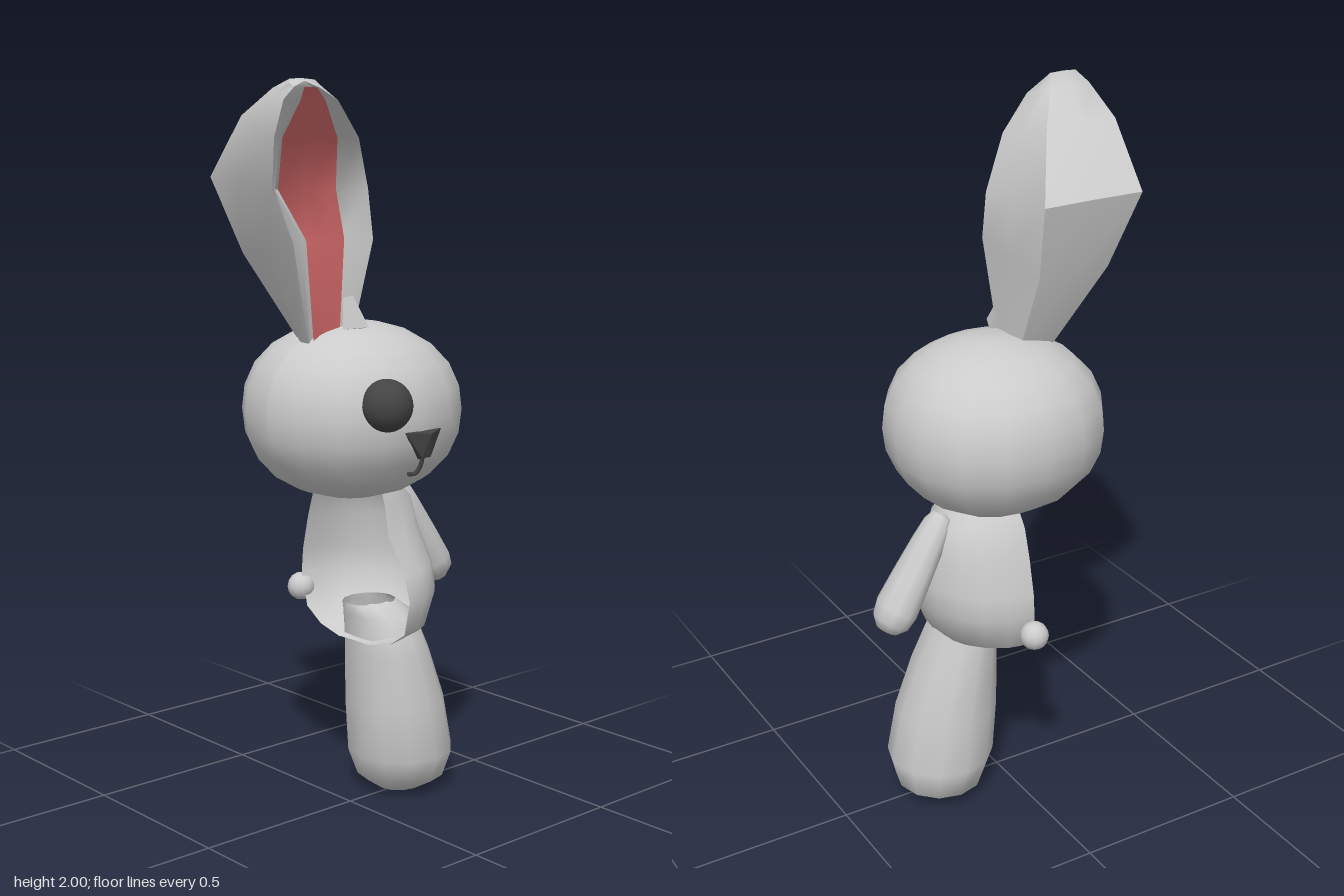
import * as THREE from 'three';
import { toCreasedNormals } from 'three/addons/utils/BufferGeometryUtils.js';
import { ConvexGeometry } from 'three/addons/geometries/ConvexGeometry.js';

const V = (x, y, z) => new THREE.Vector3(x, y, z);
const material = (color) => new THREE.MeshStandardMaterial({ color, side: THREE.DoubleSide });
const grey = material(0xcccccc);
const dark = material(0x444444);
const pink = material(0xd96c6c);

// Skin a stack of equal-length rings, listed from bottom to top.
function loft(rings, closed = true) {
  const n = rings[0].length;
  const index = [];
  for (let i = 0; i < rings.length - 1; i++) {
    for (let j = 0; j < (closed ? n : n - 1); j++) {
      const k = (j + 1) % n;
      const a = i * n + j, b = i * n + k, c = a + n, d = b + n;
      index.push(a, b, d, a, d, c);
    }
  }
  const geometry = new THREE.BufferGeometry().setFromPoints(rings.flat());
  geometry.setIndex(index);
  geometry.computeVertexNormals();
  return geometry;
}

// Horizontal elliptical ring, or an arc of one.
function ring(y, cx, rx, cz, rz, sides, from = 0, sweep = Math.PI * 2) {
  const count = sweep < 6 ? sides + 1 : sides;
  return Array.from({ length: count }, (_, j) => {
    const a = from + (j / sides) * sweep;
    return V(cx + rx * Math.cos(a), y, cz - rz * Math.sin(a));
  });
}

export function createModel() {
  const model = new THREE.Group();
  const add = (name, geometry, mat = grey) => {
    const mesh = new THREE.Mesh(geometry, mat);
    mesh.name = name;
    model.add(mesh);
    return mesh;
  };

  // Head: a slightly squared ellipsoid
  const head = new THREE.SphereGeometry(1, 16, 12);
  const p = head.attributes.position;
  for (let i = 0; i < p.count; i++) {
    const v = V().fromBufferAttribute(p, i);
    const e = 2.2;
    const s = (Math.abs(v.x) ** e + Math.abs(v.y) ** e + Math.abs(v.z) ** e) ** (-1 / e);
    p.setXYZ(i, v.x * s * 0.298, v.y * s * 0.242, v.z * s * 0.285);
  }
  head.computeVertexNormals();
  add('head', head).position.set(0.02, 1.133, -0.017);

  // Eye, nose and mouth
  add('eye', new THREE.SphereGeometry(0.07, 24, 16), dark).position.set(-0.08, 1.178, 0.233);
  add('nose', new ConvexGeometry([
    V(-0.04, 1.105, 0.262), V(0.09, 1.105, 0.262), V(0.027, 1.1, 0.292), V(0.027, 1.1, 0.22),
    V(0.01, 1.035, 0.275), V(0.04, 1.035, 0.275), V(0.025, 1.025, 0.24),
  ]), dark);
  const mouthPath = new THREE.CatmullRomCurve3([
    V(0.025, 1.045, 0.262), V(0.025, 1.01, 0.252), V(0.015, 0.99, 0.244), V(-0.008, 0.989, 0.24),
  ]);
  add('mouth', new THREE.TubeGeometry(mouthPath, 10, 0.006, 6), dark);

  // Body: half shell, open on its inner side
  const bodyLevels = [ // y, rx, cz, rz
    [0.475, 0.004, -0.01, 0.06], [0.495, 0.08, -0.005, 0.145], [0.535, 0.19, -0.005, 0.205],
    [0.63, 0.228, -0.007, 0.227], [0.7, 0.23, -0.015, 0.213], [0.8, 0.215, -0.035, 0.17],
    [0.88, 0.19, -0.03, 0.15], [0.935, 0.13, -0.02, 0.12],
  ];
  add('body', loft(bodyLevels.map(([y, rx, cz, rz]) =>
    ring(y, 0.02, rx, cz, rz, 10, -Math.PI / 2, Math.PI)), false));

  // Tail
  const tail = add('tail', new THREE.SphereGeometry(0.04, 12, 8));
  tail.position.set(0.03, 0.585, -0.249);

  // Leg: tapered, with a flat inner face
  const legLevels = [ // y, cx, rx, cz, rz
    [0.008, 0.2, 0.001, 0, 0.001], [0.012, 0.2, 0.07, -0.005, 0.06], [0.05, 0.2, 0.125, -0.008, 0.128],
    [0.13, 0.19, 0.152, 0.002, 0.153], [0.28, 0.17, 0.145, 0, 0.142],
    [0.43, 0.145, 0.118, -0.007, 0.128], [0.54, 0.12, 0.098, -0.015, 0.11], [0.57, 0.115, 0.08, -0.05, 0.07],
  ];
  add('leg', loft(legLevels.map((level) =>
    ring(...level, 12).map((q) => V(Math.max(q.x, 0.04 + 0.1 * Math.max(0, 0.1 - q.y)), q.y, q.z)))));

  // Arm: rounded club, built upright and then tilted outwards
  const armProfile = [[0.001, -0.2], [0.035, -0.192], [0.06, -0.165], [0.068, -0.125], [0.062, -0.04],
    [0.052, 0.07], [0.044, 0.13], [0.03, 0.158], [0.001, 0.165]].map(([r, y]) => new THREE.Vector2(r, y));
  const arm = add('arm', new THREE.LatheGeometry(armProfile, 10));
  arm.scale.set(0.85, 1, 1);
  arm.position.set(0.277, 0.768, -0.04);
  arm.rotation.z = 0.53;

  // Ear: trough-shaped sections that lean forward towards the tip
  const earLevels = [ // yBack, yFront, xBackL, xBackR, xFrontL, xFrontR, zBack, zFront, pinkL, pinkR
    [1.33, 1.33, -0.14, -0.04, -0.18, -0.03, -0.05, 0.04, -0.15, -0.06],
    [1.56, 1.6, -0.25, -0.04, -0.3, -0.03, -0.145, 0.125, -0.2, -0.07],
    [1.76, 1.73, -0.32, -0.025, -0.35, -0.03, -0.19, 0.105, -0.27, -0.075],
    [1.915, 1.86, -0.34, -0.13, -0.395, -0.12, -0.03, 0.17, -0.33, -0.15],
    [1.98, 1.95, -0.35, -0.23, -0.385, -0.21, 0.11, 0.195, -0.32, -0.24],
    [2.0, 1.98, -0.35, -0.27, -0.36, -0.28, 0.175, 0.205, -0.33, -0.29],
  ];
  const floorZ = (zb, zf) => zf - 0.3 * (zf - zb);
  const earRings = earLevels.map(([yb, yf, bl, br, fl, fr, zb, zf, pl, pr]) => {
    const ym = (yb + yf) / 2, zm = (zb + zf) / 2;
    return [
      V(fr, yf, zf), V((br + fr) / 2 + 0.005, ym, zm), V(br, yb, zb), V((bl + br) / 2, yb + 0.003, zb - 0.005),
      V(bl, yb, zb), V((bl + fl) / 2 - 0.01, ym, zm), V(fl, yf, zf),
      V(pl, yf, floorZ(zb, zf)), V(pr, yf, floorZ(zb, zf)),
    ];
  });
  const tip = V(-0.32, 1.995, 0.195);
  earRings.push(earRings[0].map(() => tip.clone()));
  add('ear', toCreasedNormals(loft(earRings), 0.8));

  // Coloured lining just above the floor of the ear
  add('earLining', loft(earLevels.map(([yb, yf, , , , , zb, zf, pl, pr]) => {
    const z = floorZ(zb, zf) + 0.012;
    return [V(pl, yf, z), V((pl + pr) / 2, yf, z - 0.004), V(pr, yf, z)];
  }), false), pink);

  // Small fold at the base of the ear
  add('earFold', new ConvexGeometry([
    V(-0.015, 1.36, 0.06), V(-0.04, 1.37, 0.12), V(-0.05, 1.5, 0.03), V(-0.07, 1.36, 0.05),
  ]));

  return model;
}
